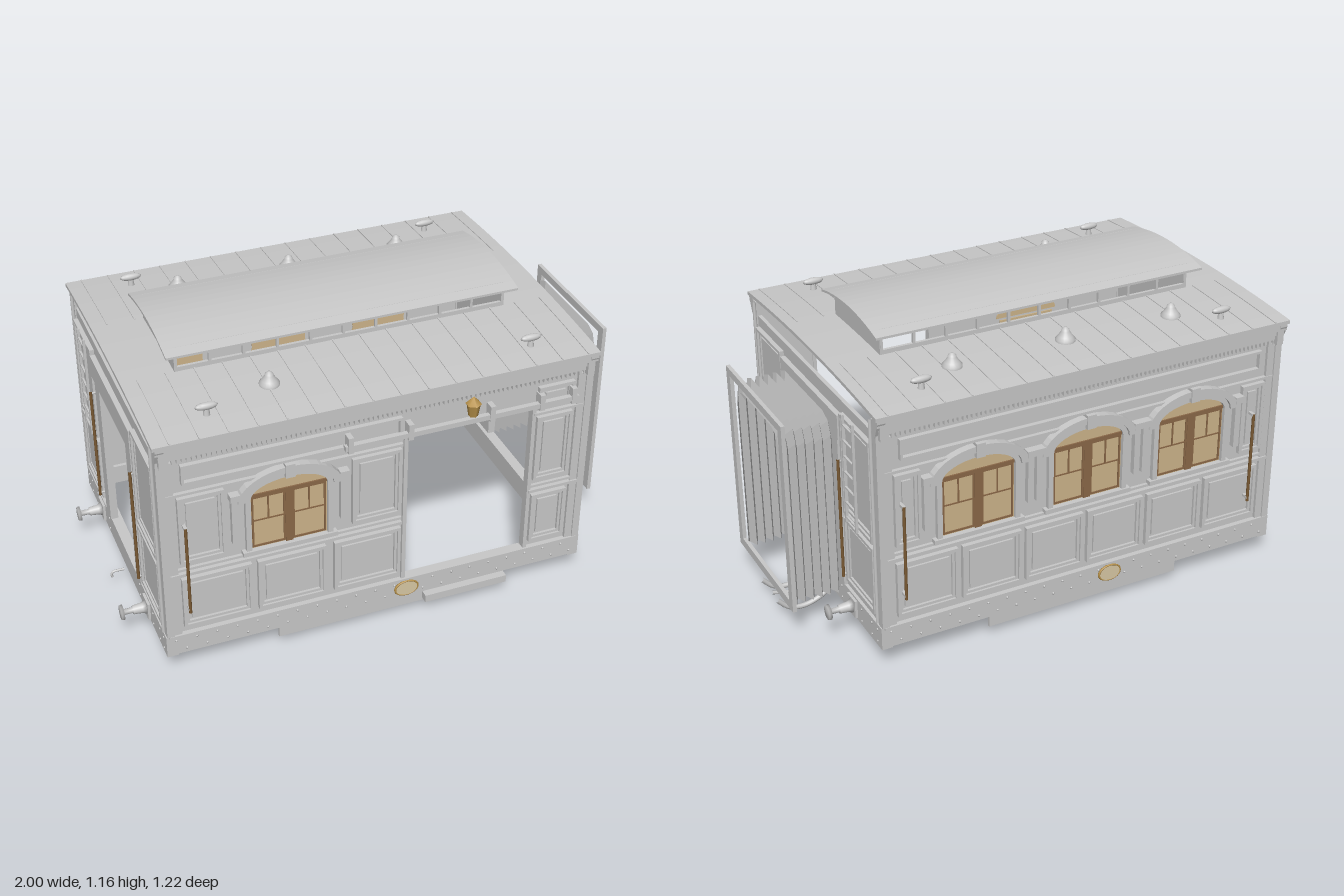
import * as THREE from 'three';
import { mergeGeometries } from 'three/addons/utils/BufferGeometryUtils.js';

const mat = (name, color) => new THREE.MeshStandardMaterial({ name, color });

export function createModel() {
  const grey = mat('body grey', 0xc8c8c8), tan = mat('window tan', 0xcdb48a);
  const brown = mat('window frame brown', 0x8a6848), rail = mat('handrail brown', 0x7a5a34);
  const gold = mat('lamp gold', 0xb8924a), cream = mat('plaque cream', 0xd8c8a4);
  const bellowsMat = mat('bellows grey', 0xc4c4c4);
  bellowsMat.side = THREE.DoubleSide;
  const model = new THREE.Group();
  const CX = -0.055, L = 0.825; // body centre and half length

  // ---- helpers ----
  const add = (parent, name, geo, m = grey) => {
    const mesh = new THREE.Mesh(geo, m);
    mesh.name = name;
    parent.add(mesh);
  };
  const merge = list => mergeGeometries(list.map(g => (g.index ? g.toNonIndexed() : g)));
  // box from its limits
  const bx = (x0, x1, y0, y1, z0, z1) =>
    new THREE.BoxGeometry(x1 - x0, y1 - y0, z1 - z0).translate((x0 + x1) / 2, (y0 + y1) / 2, (z0 + z1) / 2);
  const rod = (r, a, b, seg = 8) => new THREE.TubeGeometry(
    new THREE.LineCurve3(new THREE.Vector3(...a), new THREE.Vector3(...b)), 1, r, seg);
  const ext = (shape, z, depth) =>
    new THREE.ExtrudeGeometry(shape, { depth, bevelEnabled: false }).translate(0, 0, z);
  const poly = pts => new THREE.Shape(pts.map(p => new THREE.Vector2(...p)));
  const rect = (x0, x1, y0, y1) => poly([[x0, y0], [x1, y0], [x1, y1], [x0, y1]]);
  const frame = (x0, x1, y0, y1, t, z, d) => {
    const s = rect(x0, x1, y0, y1);
    s.holes.push(rect(x0 + t, x1 - t, y0 + t, y1 - t));
    return ext(s, z, d);
  };
  // moulded panel: stepped frame around a raised field
  const panel = (parent, x0, x1, y0, y1, z, name) => add(parent, name, merge([
    frame(x0, x1, y0, y1, 0.012, z, 0.018),
    frame(x0 + 0.012, x1 - 0.012, y0 + 0.012, y1 - 0.012, 0.01, z, 0.01),
    ext(rect(x0 + 0.032, x1 - 0.032, y0 + 0.032, y1 - 0.032), z, 0.008)]));
  const rivet = (x, y, z) => new THREE.SphereGeometry(0.005, 6, 4).translate(x, y, z);

  // arch curve from right to left, and an outline with straight jambs
  const archPoints = (hw, ySpring, rise) => Array.from({ length: 17 }, (_, i) =>
    [hw * Math.cos(Math.PI * i / 16), ySpring + rise * Math.sin(Math.PI * i / 16)]);
  const archShape = (hw, y0, ySpring, rise) => poly([[-hw, y0], [hw, y0], ...archPoints(hw, ySpring, rise)]);

  // ---- arched window with casements outside and a curtain inside ----
  const addWindow = (parent, x) => {
    const w = new THREE.Group();
    w.name = 'archedWindow';
    w.position.x = x;
    parent.add(w);
    add(w, 'windowPane', ext(archShape(0.145, 0.48, 0.705, 0.065), 0.56, 0.004), tan);
    const s = archShape(0.165, 0.47, 0.705, 0.09);
    s.holes.push(archShape(0.145, 0.48, 0.705, 0.065));
    add(w, 'windowSurround', ext(s, 0.56, 0.018));
    const hood = poly([...archPoints(0.195, 0.705, 0.115), ...archPoints(0.165, 0.705, 0.09).reverse()]);
    add(w, 'windowHood', ext(hood, 0.56, 0.03));
    add(w, 'windowSill', bx(-0.18, 0.18, 0.462, 0.48, 0.56, 0.585));
    add(w, 'keystone', bx(-0.018, 0.018, 0.775, 0.83, 0.56, 0.595));
    const bars = [bx(-0.014, 0.014, 0.48, 0.715, 0.56, 0.57), bx(-0.143, 0.143, 0.705, 0.717, 0.56, 0.57)];
    for (const k of [-1, 1]) {
      const c = k * 0.077;
      bars.push(frame(c - 0.063, c + 0.063, 0.485, 0.705, 0.007, 0.563, 0.005),
        bx(c - 0.06, c + 0.06, 0.598, 0.603, 0.563, 0.567), bx(c - 0.003, c + 0.003, 0.6, 0.7, 0.563, 0.567));
      add(w, 'windowBracket', merge([bx(k * 0.205 - 0.012, k * 0.205 + 0.012, 0.53, 0.74, 0.56, 0.582),
        bx(k * 0.205 - 0.018, k * 0.205 + 0.018, 0.72, 0.745, 0.56, 0.592)]));
    }
    add(w, 'casementBars', merge(bars), brown);
    add(w, 'curtain', ext(poly([[-0.145, 0.485], [0.145, 0.485], [0.115, 0.6], [0.125, 0.695], [-0.125, 0.695],
      [-0.115, 0.6]]), 0.54, 0.005), tan);
    add(w, 'curtainArch', ext(archShape(0.14, 0.705, 0.708, 0.06), 0.54, 0.005), tan);
  };

  // ---- long sides ----
  const buildSide = back => {
    const g = new THREE.Group();
    g.name = back ? 'backSide' : 'frontSide';
    g.position.x = CX;
    if (back) g.rotation.y = Math.PI;
    model.add(g);
    const walls = back ? [bx(-L, L, 0.09, 1.02, 0.545, 0.56)]
      : [bx(-L, 0.1, 0.09, 1.02, 0.545, 0.56), bx(0.595, L, 0.09, 1.02, 0.545, 0.56), bx(0.1, 0.595, 0.83, 1.02, 0.545, 0.56)];
    add(g, 'sideWall', merge(walls));
    add(g, 'sideSill', bx(-L, L, 0.085, 0.165, 0.53, 0.575));
    add(g, 'sillLedge', bx(-L, L, 0.163, 0.172, 0.545, 0.58));
    const rivets = [], dentils = [];
    for (let i = 0; i < 42; i++) rivets.push(rivet(-0.8 + i * 0.039, i % 2 ? 0.105 : 0.148, 0.575));
    for (let i = 0; i < 90; i++) dentils.push(bx(-0.81 + i * 0.018, -0.801 + i * 0.018, 0.925, 0.945, 0.56, 0.575));
    add(g, 'sillRivets', merge(rivets));
    add(g, 'corniceDentils', merge(dentils));
    add(g, 'cornice', merge([bx(-L, L, 0.945, 0.965, 0.56, 0.58), bx(-L, L, 0.965, 0.985, 0.56, 0.588),
      bx(-L - 0.01, L + 0.01, 0.985, 1.02, 0.56, 0.597)]));
    add(g, 'plaque', new THREE.CylinderGeometry(1, 1, 0.009, 24).rotateX(Math.PI / 2)
      .scale(0.046, 0.032, 1).translate(0.105, 0.127, 0.578), cream);
    add(g, 'plaqueRim', new THREE.TorusGeometry(1, 0.1, 6, 24).scale(0.046, 0.032, 0.05).translate(0.105, 0.127, 0.579), gold);
    add(g, 'underPlate', bx(-0.405, 0.405, 0.04, 0.086, 0.56, 0.572));
    // corner pilasters
    for (const k of [-1, 1]) {
      add(g, 'cornerPilaster', bx(k * 0.8 - 0.025, k * 0.8 + 0.025, 0.17, 0.93, 0.56, 0.572));
      add(g, 'corniceBracket', bx(k * 0.81 - 0.014, k * 0.81 + 0.014, 0.93, 1.0, 0.56, 0.596));
    }
    const sideRail = x => {
      add(g, 'handrail', rod(0.006, [x, 0.28, 0.594], [x, 0.66, 0.594]), rail);
      for (const y of [0.29, 0.65]) add(g, 'handrailMount', bx(x - 0.006, x + 0.006, y, y + 0.01, 0.56, 0.596));
    };
    const belts = (x0, x1) => add(g, 'beltMoulding', merge([bx(x0, x1, 0.435, 0.447, 0.56, 0.578),
      bx(x0, x1, 0.455, 0.465, 0.56, 0.572), bx(x0, x1, 0.785, 0.795, 0.56, 0.575)]));
    sideRail(-0.745);
    if (back) {
      belts(-L, L);
      sideRail(0.715);
      for (let i = 0; i < 6; i++) panel(g, -0.77 + i * 0.258, -0.53 + i * 0.258, 0.2, 0.42, 0.56, 'lowerPanel');
      for (const x of [-0.445, 0, 0.445]) addWindow(g, x);
      for (const k of [-1, 1]) panel(g, k * 0.72 - 0.05, k * 0.72 + 0.05, 0.49, 0.775, 0.56, 'upperPanel');
      add(g, 'nameBoard', frame(-0.745, 0.745, 0.83, 0.91, 0.01, 0.56, 0.018));
    } else {
      belts(-L, 0.08);
      belts(0.6, L);
      for (const x of [-0.765, -0.48, -0.185]) panel(g, x, x + 0.262, 0.2, 0.42, 0.56, 'lowerPanel');
      addWindow(g, -0.355);
      for (const [a, b] of [[-0.765, -0.595], [-0.115, 0.075]]) panel(g, a, b, 0.49, 0.775, 0.56, 'upperPanel');
      for (const [y0, y1] of [[0.2, 0.42], [0.49, 0.775], [0.81, 0.905]]) panel(g, 0.615, 0.76, y0, y1, 0.56, 'doorSidePanel');
      add(g, 'nameBoard', frame(-0.745, 0.075, 0.83, 0.91, 0.01, 0.56, 0.018));
      // sliding door track, lamp and step
      add(g, 'doorTrack', bx(-0.15, 0.77, 0.83, 0.85, 0.575, 0.595));
      for (const x of [-0.13, 0.1, 0.42, 0.62, 0.75]) add(g, 'trackBracket', bx(x - 0.01, x + 0.01, 0.82, 0.885, 0.56, 0.598));
      add(g, 'doorJambs', merge([bx(0.085, 0.1, 0.17, 0.83, 0.54, 0.572), bx(0.595, 0.61, 0.17, 0.83, 0.54, 0.572)]));
      add(g, 'lampBody', new THREE.CylinderGeometry(0.026, 0.018, 0.05, 6).translate(0.345, 0.885, 0.585), gold);
      add(g, 'lampCap', new THREE.ConeGeometry(0.03, 0.03, 6).translate(0.345, 0.925, 0.585), gold);
      add(g, 'doorStep', bx(0.175, 0.515, 0.052, 0.083, 0.52, 0.603));
    }
  };
  buildSide(false);
  buildSide(true);

  // ---- ends with open doorways ----
  for (const s of [1, -1]) {
    const g = new THREE.Group();
    g.name = s > 0 ? 'leftEnd' : 'rightEnd';
    g.position.x = CX;
    g.rotation.y = s * Math.PI / 2;
    model.add(g);
    add(g, 'endWall', merge([bx(-0.56, -0.185, 0.09, 0.94, L - 0.015, L), bx(0.185, 0.56, 0.09, 0.94, L - 0.015, L),
      bx(-0.185, 0.185, 0.79, 0.94, L - 0.015, L)]));
    add(g, 'bufferBeam', bx(-0.575, 0.575, 0.08, 0.17, L - 0.03, L + 0.012));
    add(g, 'doorSurround', merge([bx(-0.25, -0.185, 0.17, 0.87, L, L + 0.015), bx(0.185, 0.25, 0.17, 0.87, L, L + 0.015),
      bx(-0.27, 0.27, 0.79, 0.885, L, L + 0.02)]));
    const rivets = [];
    for (const k of [-1, 1]) {
      panel(g, k * 0.405 - 0.125, k * 0.405 + 0.125, 0.21, 0.48, L, 'endLowerPanel');
      panel(g, k * 0.405 - 0.125, k * 0.405 + 0.125, 0.5, 0.9, L, 'endUpperPanel');
      add(g, 'endPost', bx(k * 0.56 - 0.018, k * 0.56 + 0.018, 0.17, 1.0, L - 0.02, L + 0.008));
      add(g, 'downpipe', rod(0.007, [k * 0.543, 0.18, L + 0.012], [k * 0.543, 1.0, L + 0.012]));
      add(g, 'eaveBracket', ext(poly([[k * 0.56, 0.94], [k * 0.575, 0.94], [k * 0.6, 1.0], [k * 0.6, 1.02], [k * 0.56, 1.02]]), L - 0.02, 0.03));
      add(g, 'endHandrail', rod(0.006, [k * 0.28, 0.23, L + 0.028], [k * 0.28, 0.72, L + 0.028]), rail);
      for (const y of [0.24, 0.71]) add(g, 'handrailMount', rod(0.005, [k * 0.28, y, L], [k * 0.28, y, L + 0.028], 6));
      for (const x of [0.22, 0.4, 0.49, 0.54]) for (const y of [0.1, 0.15]) rivets.push(rivet(k * x, y, L + 0.012));
      // buffers
      add(g, 'bufferPlate', bx(k * 0.325 - 0.036, k * 0.325 + 0.036, 0.09, 0.162, L + 0.01, L + 0.022));
      const prof = [[0, 0.02], [0.028, 0.02], [0.02, 0.035], [0.017, 0.07], [0.011, 0.072], [0.011, 0.106], [0.03, 0.108], [0.028, 0.118], [0, 0.12]];
      add(g, 'buffer', new THREE.LatheGeometry(prof.map(p => new THREE.Vector2(...p)), 16).rotateX(Math.PI / 2).translate(k * 0.325, 0.125, L));
    }
    add(g, 'beamRivets', merge(rivets));
    // ladder
    const c = s * 0.375, ladder = [];
    for (const k of [-1, 1]) ladder.push(bx(c + k * 0.043 - 0.004, c + k * 0.043 + 0.004, 0.49, 0.92, L + 0.02, L + 0.03));
    for (let i = 0; i < 7; i++) ladder.push(bx(c - 0.043, c + 0.043, 0.508 + i * 0.062, 0.514 + i * 0.062, L + 0.021, L + 0.029));
    add(g, 'ladder', merge(ladder));
  }

  // ---- curved roof, open under the raised lantern ----
  const roofY = z => 1.048 - 0.068 * z * z, lanternY = z => 1.165 - 0.5 * z * z;
  const arcSlab = (z0, z1, x0, x1, f, t) => {
    const up = [], down = [];
    for (let i = 0; i <= 12; i++) {
      const z = z0 + (z1 - z0) * i / 12;
      up.push([-z, f(z)]);
      down.unshift([-z, f(z) - t]);
    }
    return ext(poly([...up, ...down]), x0, x1 - x0).rotateY(Math.PI / 2);
  };
  const x0 = -0.9, x1 = 0.785, c0 = -0.7, c1 = 0.585;
  add(model, 'roof', merge([arcSlab(-0.6, -0.2, x0, x1, roofY, 0.014), arcSlab(0.2, 0.6, x0, x1, roofY, 0.014),
    arcSlab(-0.2, 0.2, x0, c0, roofY, 0.014), arcSlab(-0.2, 0.2, c1, x1, roofY, 0.014)]));
  const ribs = [];
  for (let i = 0; i < 16; i++) for (const [a, b] of [[-0.598, -0.2], [0.2, 0.598]])
    ribs.push(arcSlab(a, b, -0.84 + i * 0.105, -0.834 + i * 0.105, z => roofY(z) + 0.003, 0.004));
  add(model, 'roofRibs', merge(ribs));
  for (const z of [-0.195, 0.195]) {
    const parts = [bx(c0, c1, 1.03, 1.062, z - 0.006, z + 0.006), bx(c0, c1, 1.122, 1.145, z - 0.006, z + 0.006)];
    for (let i = 0; i <= 10; i++) parts.push(bx(c0 + i * 0.1275, c0 + i * 0.1275 + 0.01, 1.06, 1.125, z - 0.006, z + 0.006));
    add(model, 'lanternSide', merge(parts));
  }
  for (const x of [c0, c1 - 0.01]) add(model, 'lanternEnd', bx(x, x + 0.012, 1.035, 1.143, -0.2, 0.2));
  add(model, 'lanternRoof', arcSlab(-0.245, 0.245, -0.74, 0.62, lanternY, 0.009));

  // ---- roof vents ----
  const ventProfile = [[0.037, 0], [0.037, 0.012], [0.028, 0.022], [0.016, 0.04], [0.015, 0.047], [0.006, 0.055], [0, 0.056]];
  for (const [x, z] of [[-0.51, -0.385], [-0.06, -0.385], [0.395, -0.385], [-0.41, 0.385]])
    add(model, 'domeVent', new THREE.LatheGeometry(ventProfile.map(p => new THREE.Vector2(...p)), 20).translate(x, roofY(z) - 0.004, z));
  for (const x of [-0.67, 0.56]) for (const z of [-0.48, 0.48]) {
    add(model, 'torpedoVent', new THREE.SphereGeometry(0.014, 12, 8).scale(3, 1, 1).translate(x, 1.067, z));
    add(model, 'ventStem', new THREE.CylinderGeometry(0.008, 0.014, 0.04, 10).translate(x, 1.045, z));
  }

  // ---- folding gangway bellows ----
  const ring = (d, x) => [[-0.245, 0.14], [-0.245, 0.8], [-0.225, 0.85], [-0.18, 0.87], [0.18, 0.87], [0.225, 0.85], [0.245, 0.8], [0.245, 0.14]]
    .map(([z, y]) => [x, y > 0.2 ? y - d : y, z - Math.sign(z) * d]);
  const pos = [];
  for (let i = 0; i < 12; i++) {
    const a = ring(i % 2 ? 0 : 0.035, 0.79 + i * 0.0165), b = ring(i % 2 ? 0.035 : 0, 0.79 + (i + 1) * 0.0165);
    for (let j = 0; j < a.length - 1; j++)
      pos.push(...a[j], ...b[j], ...a[j + 1], ...b[j], ...b[j + 1], ...a[j + 1]);
  }
  const bellows = new THREE.BufferGeometry();
  bellows.setAttribute('position', new THREE.Float32BufferAttribute(pos, 3));
  bellows.computeVertexNormals();
  add(model, 'bellows', bellows, bellowsMat);
  add(model, 'bellowsEndFrame', merge([bx(0.985, 1, 0.13, 0.895, -0.275, -0.24), bx(0.985, 1, 0.13, 0.895, 0.24, 0.275),
    bx(0.985, 1, 0.865, 0.895, -0.24, 0.24), bx(0.985, 1, 0.13, 0.165, -0.24, 0.24)]));

  // ---- couplings and hoses ----
  const tube = (name, pts, r) => add(model, name, new THREE.TubeGeometry(
    new THREE.CatmullRomCurve3(pts.map(p => new THREE.Vector3(...p))), 20, r, 8));
  for (const z of [-0.08, 0.08])
    tube('couplingHose', [[0.77, 0.085, z], [0.79, 0.05, z], [0.87, 0.013, z], [0.94, 0.02, z], [0.99, 0.065, z]], 0.01);
  tube('couplingLink', [[0.77, 0.06, 0], [0.84, 0.035, 0], [0.92, 0.035, 0], [0.98, 0.05, 0]], 0.007);
  add(model, 'couplingPin', rod(0.006, [0.88, 0.035, -0.03], [0.88, 0.035, 0.03]));
  tube('endHook', [[-0.9, 0.06, 0], [-0.945, 0.058, 0], [-0.952, 0.045, 0], [-0.948, 0.035, 0]], 0.005);
  return model;
}
